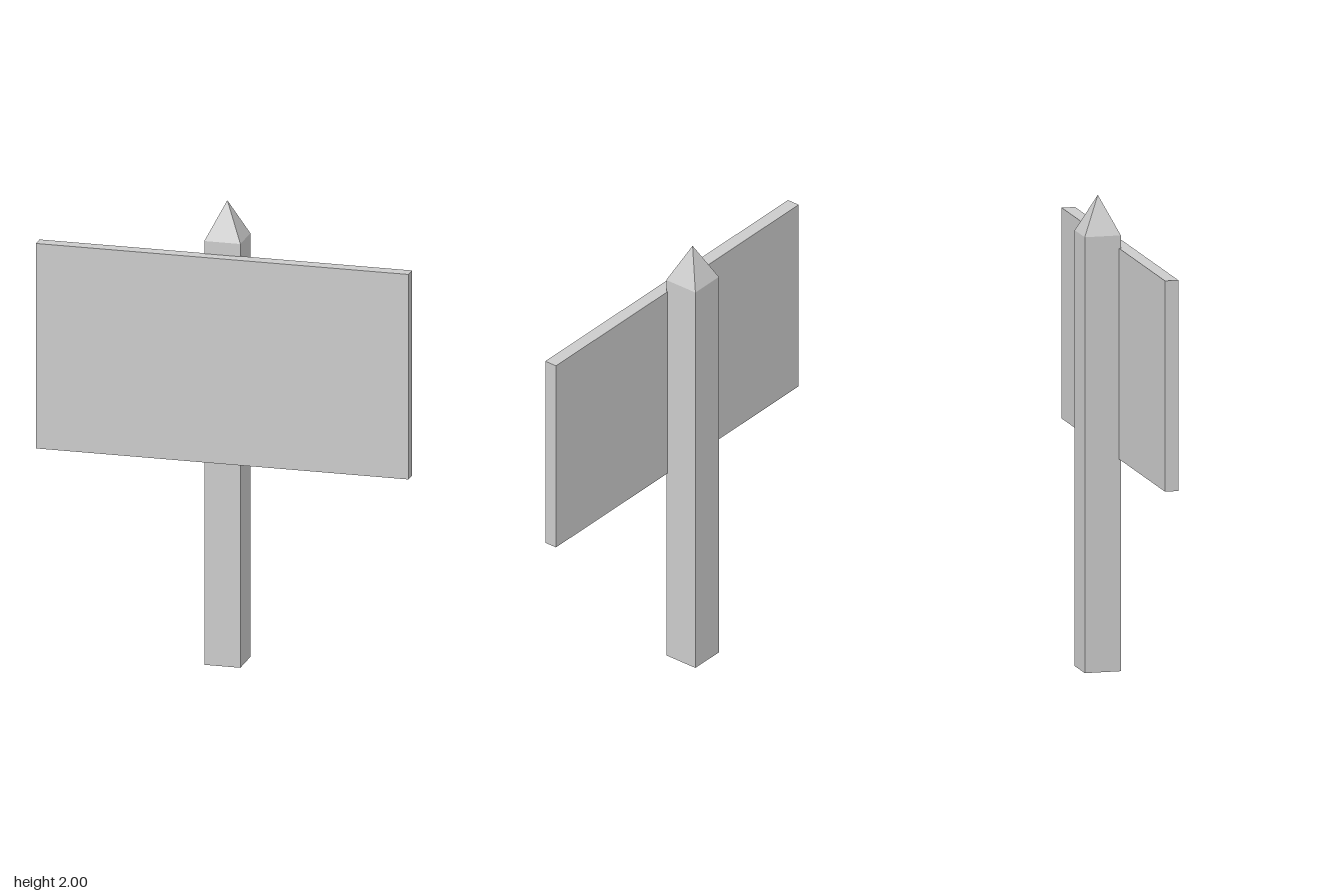
import * as THREE from 'three';

export function createModel() {
  const model = new THREE.Group();
  model.name = 'signpost';
  const material = new THREE.MeshStandardMaterial({ color: 0xcccccc, flatShading: true });

  const add = (name, geometry, x, y, z) => {
    const mesh = new THREE.Mesh(geometry, material);
    mesh.name = name;
    mesh.position.set(x, y, z);
    model.add(mesh);
  };

  const postWidth = 0.155, postHeight = 1.84, tipHeight = 0.16;
  const postX = -0.013, postZ = -0.025;

  // Square post, open at the top where the tip sits
  const corner = postWidth / Math.SQRT2;
  const post = new THREE.CylinderGeometry(corner, corner, postHeight, 4, 1).rotateY(Math.PI / 4);
  add('post', post, postX, postHeight / 2, postZ);

  // Pyramid tip
  const tip = new THREE.ConeGeometry(corner, tipHeight, 4, 1, true).rotateY(Math.PI / 4);
  add('postTip', tip, postX, postHeight + tipHeight / 2, postZ);

  // Board, set slightly into the front of the post
  add('board', new THREE.BoxGeometry(1.6, 0.89, 0.057), 0, 1.34, 0.074);

  return model;
}
